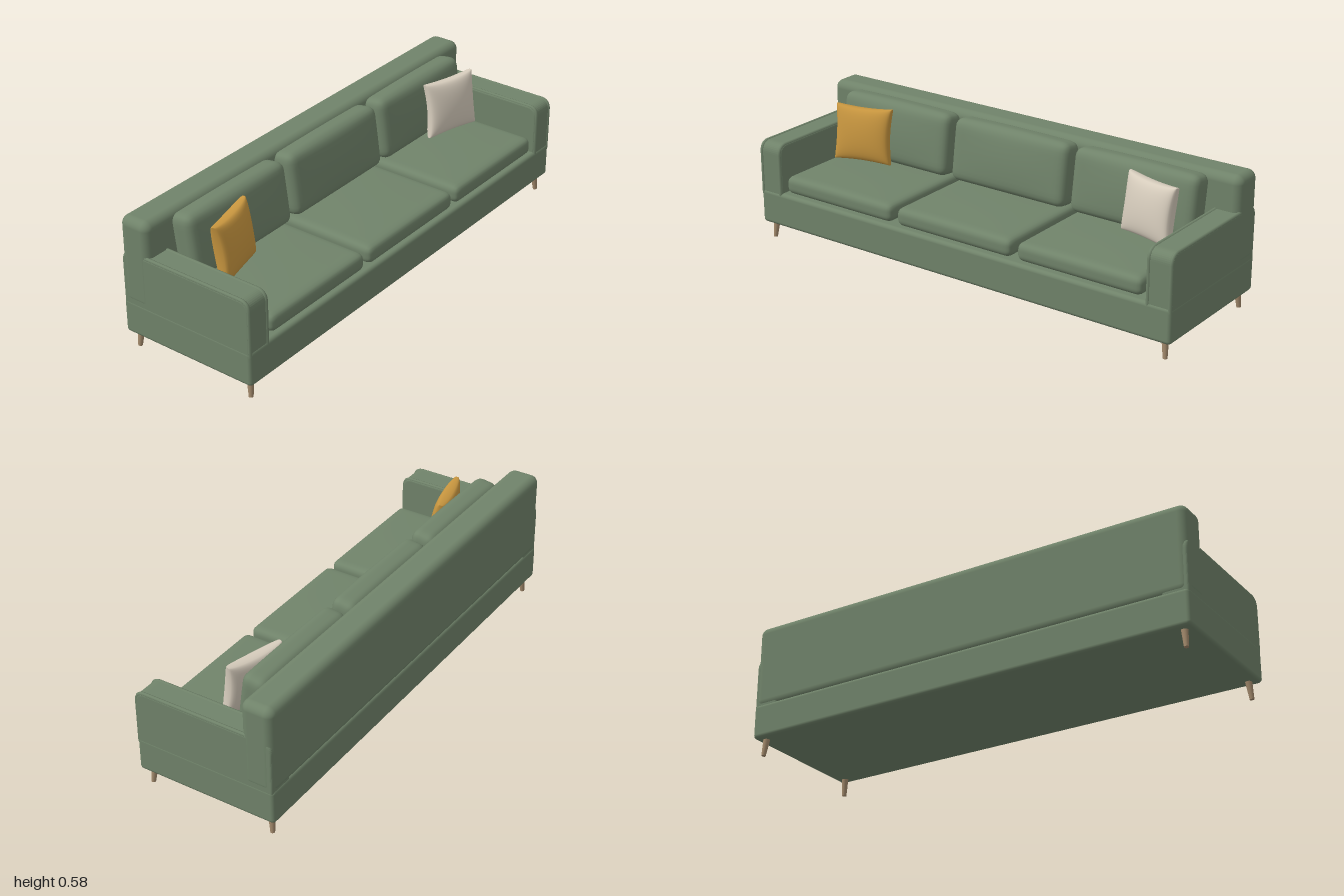
import * as THREE from 'three';
import { mergeVertices } from 'three/addons/utils/BufferGeometryUtils.js';
import { RoundedBoxGeometry } from 'three/addons/geometries/RoundedBoxGeometry.js';

const material = (name, color) => {
  const m = new THREE.MeshStandardMaterial({ color });
  m.name = name;
  return m;
};

export function createModel() {
  const fabric = material('sage fabric', 0x70836a);
  const wood = material('leg wood', 0xa38a6c);
  const mustard = material('mustard fabric', 0xc8963f);
  const cream = material('cream fabric', 0xd6ccbc);

  const model = new THREE.Group();
  model.name = 'sofa';

  const add = (name, geometry, mat, x = 0, y = 0, z = 0) => {
    const mesh = new THREE.Mesh(geometry, mat);
    mesh.name = name;
    mesh.position.set(x, y, z);
    model.add(mesh);
    return mesh;
  };

  // Finely divided box whose vertices are moved by a rule, then smoothed
  const shapedBox = (segments, rule) => {
    const g = new THREE.BoxGeometry(2, 2, 2, ...segments);
    g.deleteAttribute('uv');
    g.deleteAttribute('normal');
    const p = g.attributes.position;
    const v = new THREE.Vector3();
    for (let i = 0; i < p.count; i++) {
      v.fromBufferAttribute(p, i);
      rule(v);
      p.setXYZ(i, v.x, v.y, v.z);
    }
    const merged = mergeVertices(g, 1e-5);
    merged.computeVertexNormals();
    return merged;
  };

  // Rounded cushion, crowned on its top and front
  const cushion = (w, h, d, r, crownY, crownZ) => {
    const half = new THREE.Vector3(w / 2, h / 2, d / 2);
    const inner = half.clone().subScalar(r);
    const core = new THREE.Vector3();
    const ease = (s) => Math.sin((s * Math.PI) / 2);
    return shapedBox([24, 16, 20], (v) => {
      v.set(ease(v.x), ease(v.y), ease(v.z)).multiply(half);
      core.copy(v).clamp(inner.clone().negate(), inner);
      v.sub(core).setLength(r).add(core);
      const fx = 1 - (v.x / half.x) ** 2;
      const fy = 1 - (v.y / half.y) ** 2;
      const fz = 1 - (v.z / half.z) ** 2;
      const up = Math.max(0, v.y / half.y);
      const out = Math.max(0, v.z / half.z);
      v.y += crownY * fx * fz * up;
      v.z += crownZ * fx * fy * out;
    });
  };

  // Square pillow with pulled corners and curved-in sides
  const pillow = (size, thickness) => shapedBox([22, 22, 2], (v) => {
    const { x, y, z } = v;
    const u = Math.sin((x * Math.PI) / 2);
    const w = Math.sin((y * Math.PI) / 2);
    const fat = 0.12 + 0.88 * ((1 - u * u) * (1 - w * w)) ** 0.35;
    v.x = (u * size / 2) * (1 - 0.07 * (1 - w * w));
    v.y = (w * size / 2) * (1 - 0.07 * (1 - u * u));
    v.z = (z * thickness / 2) * fat;
  });

  // Base and backrest
  add('base', new RoundedBoxGeometry(2, 0.148, 0.614, 4, 0.016), fabric, 0, 0.146, 0);
  add('backrest', new RoundedBoxGeometry(2, 0.37, 0.138, 6, 0.035), fabric, 0, 0.39, -0.238);

  // Arms: a slab with rounded upper corners and piping along its edges
  const armOutline = (inset) => {
    const z = 0.307 - inset;
    const top = 0.435 - inset;
    const r = 0.042 - inset / 2;
    const s = new THREE.Shape();
    s.moveTo(-z, 0.15);
    s.lineTo(z, 0.15);
    s.lineTo(z, top - r);
    s.quadraticCurveTo(z, top, z - r, top);
    s.lineTo(-z + r, top);
    s.quadraticCurveTo(-z, top, -z, top - r);
    s.closePath();
    return s;
  };
  const armGeometry = new THREE.ExtrudeGeometry(armOutline(0.014), {
    depth: 0.092, bevelEnabled: true, bevelThickness: 0.01, bevelSize: 0.01,
    bevelSegments: 4, curveSegments: 10,
  });
  armGeometry.translate(0, 0, -0.046).rotateY(-Math.PI / 2);

  const pipe = new THREE.CurvePath();
  const at = (y, z) => new THREE.Vector3(0, y, z);
  pipe.add(new THREE.LineCurve3(at(0.2, 0.299), at(0.388, 0.299)));
  pipe.add(new THREE.QuadraticBezierCurve3(at(0.388, 0.299), at(0.427, 0.299), at(0.427, 0.26)));
  pipe.add(new THREE.LineCurve3(at(0.427, 0.26), at(0.427, -0.19)));
  const pipeGeometry = new THREE.TubeGeometry(pipe, 90, 0.008, 8);

  for (const side of [-1, 1]) {
    const label = side > 0 ? 'left' : 'right';
    add(label + 'Arm', armGeometry, fabric, side * 0.943);
    for (const x of [0.897, 0.991]) add(label + 'ArmPiping', pipeGeometry, fabric, side * x);
  }

  // Three seat cushions and three leaning back cushions
  const seatGeometry = cushion(0.56, 0.076, 0.48, 0.028, 0.007, 0);
  const backGeometry = cushion(0.56, 0.262, 0.108, 0.036, 0.005, 0.012);
  for (const x of [-0.587, 0, 0.587]) {
    add('seatCushion', seatGeometry, fabric, x, 0.264, 0.06);
    add('backCushion', backGeometry, fabric, x, 0.438, -0.117).rotation.x = -0.14;
  }

  // Throw pillows turned towards the middle
  const pillowGeometry = pillow(0.255, 0.09);
  for (const [name, mat, side] of [['mustardPillow', mustard, -1], ['creamPillow', cream, 1]]) {
    const p = add(name, pillowGeometry, mat, side * 0.703, 0.434, -0.014);
    p.scale.y = 0.93;
    p.rotation.set(-0.15, -side * 0.25, 0, 'YXZ');
  }

  // Tapered, slightly splayed legs
  const legGeometry = new THREE.CylinderGeometry(0.0145, 0.009, 0.084, 16);
  for (const x of [-1, 1]) {
    for (const z of [-1, 1]) {
      const leg = add('leg', legGeometry, wood, x * 0.96, 0.0425, z * 0.27);
      leg.rotation.set(-z * 0.09, 0, x * 0.09);
    }
  }
  return model;
}
